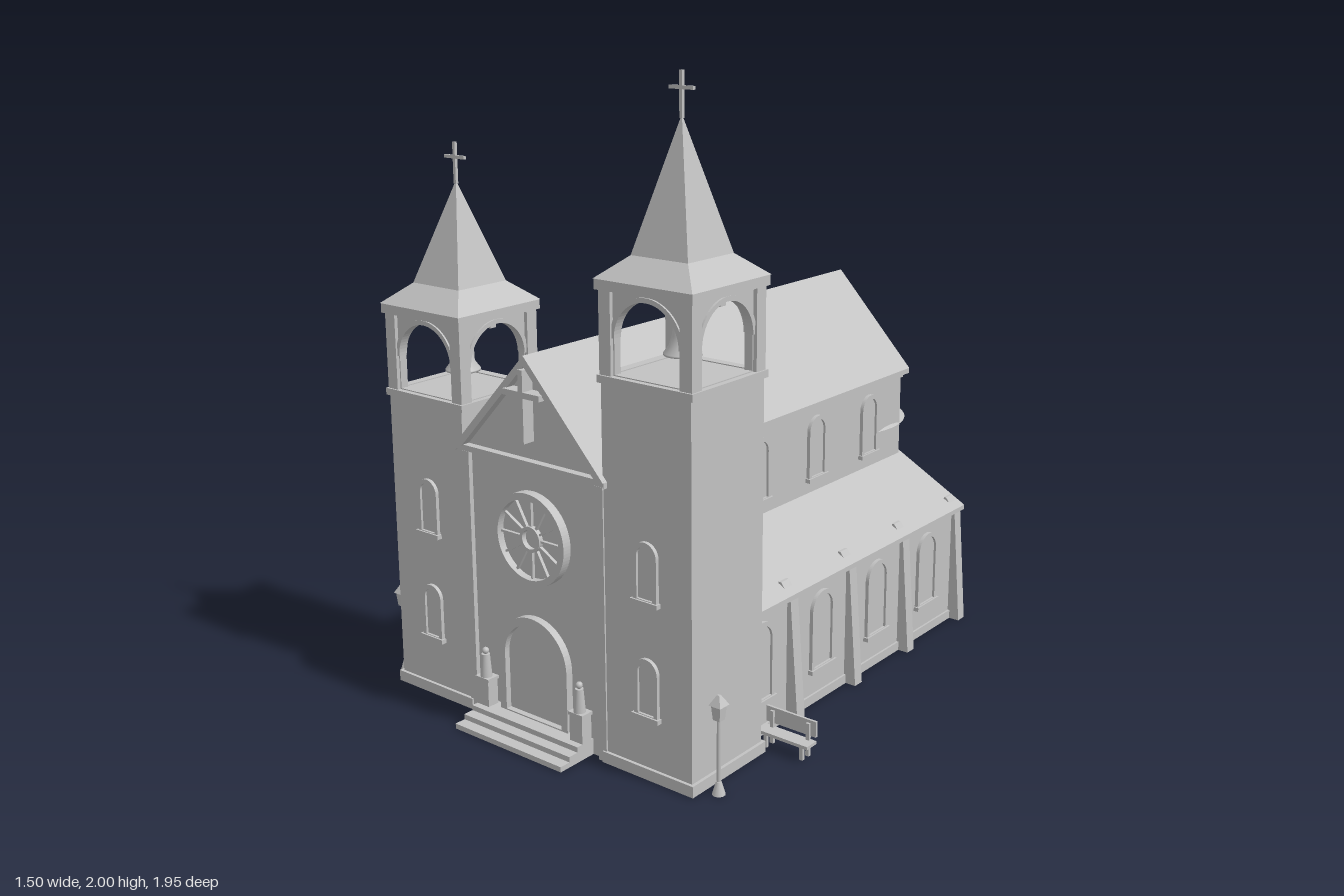
import * as THREE from 'three';

const stone = new THREE.MeshStandardMaterial({ color: 0xc2c2c2 });
stone.name = 'pale grey stone';

function add(parent, name, geo, x = 0, y = 0, z = 0) {
  const m = new THREE.Mesh(geo, stone);
  m.name = name;
  m.position.set(x, y, z);
  parent.add(m);
  return m;
}
function group(parent, name, x = 0, y = 0, z = 0) {
  const g = new THREE.Group();
  g.name = name;
  g.position.set(x, y, z);
  parent.add(g);
  return g;
}
// Box given by its low and high corners
function box(parent, name, x0, x1, y0, y1, z0, z1) {
  return add(parent, name, new THREE.BoxGeometry(x1 - x0, y1 - y0, z1 - z0),
    (x0 + x1) / 2, (y0 + y1) / 2, (z0 + z1) / 2);
}
const shapeOf = pts => new THREE.Shape(pts.map(p => new THREE.Vector2(...p)));
function extrude(shape, depth) {
  return new THREE.ExtrudeGeometry(shape, { depth, bevelEnabled: false, curveSegments: 16 });
}
// Outline of a round-headed opening standing on y
function archPath(Type, hw, y, top) {
  const p = new Type();
  p.moveTo(-hw, y);
  p.lineTo(hw, y);
  p.lineTo(hw, top - hw);
  p.absarc(0, top - hw, hw, 0, Math.PI, false);
  p.lineTo(-hw, y);
  return p;
}
function archFrame(hw, h, t, depth) {
  const s = archPath(THREE.Shape, hw, 0, h);
  s.holes.push(archPath(THREE.Path, hw - t, 0.004, h - t));
  return extrude(s, depth);
}
// Four-sided frustum with flat faces, given by half widths
function frustum(bottom, top, h) {
  const g = new THREE.CylinderGeometry(top * Math.SQRT2, bottom * Math.SQRT2, h, 4);
  g.rotateY(Math.PI / 4);
  g.translate(0, h / 2, 0);
  const flat = g.toNonIndexed();
  flat.computeVertexNormals();
  return flat;
}

// Arched window facing +z
function archWindow(parent, x, y, z, hw, h, turn = 0) {
  const g = group(parent, 'archedWindow', x, y, z);
  g.rotation.y = turn;
  add(g, 'windowFrame', archFrame(hw, h, 0.014, 0.012));
  add(g, 'windowPane', extrude(archPath(THREE.Shape, hw - 0.012, 0.002, h - 0.012), 0.004));
  box(g, 'windowSill', -hw - 0.006, hw + 0.006, -0.012, 0.002, 0, 0.018);
}

function cross(parent, y, h, arm, t, z = 0) {
  const g = group(parent, 'cross', 0, y, z);
  box(g, 'crossUpright', -t / 2, t / 2, 0, h, -t / 2, t / 2);
  box(g, 'crossArm', -arm, arm, h * 0.64 - t / 2, h * 0.64 + t / 2, -t / 2, t / 2);
}

function tower(parent, x, h) {
  const g = group(parent, 'bellTower', x, 0, 0.677);
  box(g, 'towerBody', -0.16, 0.16, 0, h, -0.163, 0.163);
  box(g, 'towerPlinth', -0.17, 0.17, 0, 0.035, -0.173, 0.173);
  box(g, 'belfryFloor', -0.17, 0.17, h, h + 0.022, -0.17, 0.17);
  for (const y of [0.2, 0.55]) archWindow(g, 0, y, 0.163, 0.043, 0.175);

  // Belfry: corner posts and an arched panel on each side
  const b = group(g, 'belfry', 0, h + 0.022, 0);
  for (const sx of [-1, 1]) for (const sz of [-1, 1])
    add(b, 'belfryPost', new THREE.BoxGeometry(0.042, 0.24, 0.042), sx * 0.143, 0.12, sz * 0.143);
  for (let i = 0; i < 4; i++) {
    const side = group(b, 'belfrySide');
    side.rotation.y = i * Math.PI / 2;
    const s = shapeOf([[-0.14, 0], [0.14, 0], [0.14, 0.24], [-0.14, 0.24]]);
    s.holes.push(archPath(THREE.Path, 0.118, 0.003, 0.225));
    add(side, 'archPanel', extrude(s, 0.02), 0, 0, 0.132);
    const ring = new THREE.Shape();
    ring.absarc(0, 0.107, 0.128, 0, Math.PI, false);
    ring.absarc(0, 0.107, 0.114, Math.PI, 0, true);
    add(side, 'archMoulding', extrude(ring, 0.03), 0, 0, 0.128);
  }
  // Bell hung from a beam
  const bell = [[0, 0.11], [0.016, 0.107], [0.026, 0.09], [0.031, 0.055], [0.04, 0.025], [0.055, 0.006], [0.055, 0],
    [0.045, 0.004], [0.024, 0.05], [0, 0.095]].reverse();
  add(b, 'bell', new THREE.LatheGeometry(bell.map(p => new THREE.Vector2(...p)), 24), 0, 0.05, 0);
  add(b, 'clapper', new THREE.SphereGeometry(0.011, 12, 8), 0, 0.045, 0);
  add(b, 'bellHanger', new THREE.CylinderGeometry(0.007, 0.007, 0.06, 8), 0, 0.185, 0);
  box(b, 'bellBeam', -0.14, 0.14, 0.205, 0.222, -0.012, 0.012);

  // Cornice and two-stage spire
  box(b, 'cornice', -0.172, 0.172, 0.24, 0.27, -0.172, 0.172);
  add(b, 'spireSkirt', frustum(0.174, 0.1, 0.062), 0, 0.27, 0);
  const tall = h > 1 ? 0.375 : 0.31;
  add(b, 'spire', frustum(0.1, 0.001, tall), 0, 0.332, 0);
  cross(b, 0.325 + tall, 0.127, 0.042, 0.01);
}

// Nave with pitched roof
function nave(parent) {
  const g = group(parent, 'nave');
  add(g, 'naveWalls', extrude(shapeOf([[-0.29, 0], [0.29, 0], [0.29, 0.86], [0, 1.165], [-0.29, 0.86]]), 1.57), 0, 0, -0.74);
  add(g, 'naveRoof', extrude(shapeOf([[0.3, 0.868], [0, 1.19], [-0.3, 0.868], [-0.3, 0.85], [0, 1.165], [0.3, 0.85]]), 1.635), 0, 0, -0.78);
  for (const s of [-1, 1]) {
    add(g, 'eavesMoulding', new THREE.BoxGeometry(0.012, 0.018, 1.25), s * 0.294, 0.853, -0.115);
    for (const z of [0.435, 0.11, -0.21, -0.53]) archWindow(g, s * 0.29, 0.612, z, 0.051, 0.21, s * Math.PI / 2);
  }
}

// Lean-to side aisle with windows and battered buttresses, mirrored by side
function aisle(parent, s) {
  const g = group(parent, 'sideAisle');
  const prism = (name, pts, z0, z1) =>
    add(g, name, extrude(shapeOf(s > 0 ? pts : pts.map(p => [-p[0], p[1]]).reverse()), z1 - z0), 0, 0, z0);
  prism('aisleWalls', [[0.2, 0], [0.538, 0], [0.538, 0.41], [0.28, 0.552], [0.2, 0.552]], -0.74, 0.53);
  prism('aisleRoof', [[0.28, 0.548], [0.556, 0.398], [0.556, 0.414], [0.28, 0.565]], -0.757, 0.53);
  prism('aislePlinth', [[0.5, 0], [0.545, 0], [0.545, 0.03], [0.5, 0.03]], -0.74, 0.53);
  for (const z of [0.275, -0.05, -0.375, -0.72])
    prism('buttress', [[0.5, 0], [0.582, 0], [0.55, 0.4], [0.514, 0.447], [0.505, 0.447]], z - 0.02, z + 0.02);
  for (const z of [0.435, 0.11, -0.21, -0.53]) archWindow(g, s * 0.538, 0.117, z, 0.062, 0.255, s * Math.PI / 2);
}

function facade(parent) {
  const g = group(parent, 'facade');
  for (const s of [-1, 1]) box(g, 'pilaster', s * 0.27 - 0.016, s * 0.27 + 0.016, 0, 0.85, 0.82, 0.845);
  box(g, 'pedimentCornice', -0.296, 0.296, 0.855, 0.873, 0.82, 0.855);
  add(g, 'gableMoulding', extrude(shapeOf([[0.3, 0.868], [0, 1.19], [-0.3, 0.868], [-0.27, 0.868], [0, 1.158], [0.27, 0.868]]), 0.03), 0, 0, 0.828);
  const c = group(g, 'gableCross', 0, 0.93, 0.85);
  box(c, 'crossUpright', -0.009, 0.009, 0, 0.22, -0.03, 0.022);
  box(c, 'crossArm', -0.073, 0.073, 0.137, 0.155, -0.03, 0.022);

  // Rose window
  const r = group(g, 'roseWindow', 0, 0.63, 0.83);
  const ring = (name, outer, inner, depth) => {
    const s = new THREE.Shape();
    s.absarc(0, 0, outer, 0, Math.PI * 2, false);
    const hole = new THREE.Path();
    hole.absarc(0, 0, inner, 0, Math.PI * 2, true);
    s.holes.push(hole);
    add(r, name, new THREE.ExtrudeGeometry(s, { depth, bevelEnabled: false, curveSegments: 40 }));
  };
  ring('roseFrame', 0.145, 0.124, 0.03);
  ring('roseHub', 0.04, 0.03, 0.022);
  add(r, 'rosePane', new THREE.CylinderGeometry(0.13, 0.13, 0.008, 40).rotateX(Math.PI / 2), 0, 0, 0.002);
  for (let i = 0; i < 12; i++) {
    const a = i * Math.PI / 6;
    add(r, 'roseSpoke', new THREE.BoxGeometry(0.09, 0.007, 0.016), 0.082 * Math.cos(a), 0.082 * Math.sin(a), 0.008).rotation.z = a;
  }

  // Arched door, steps and statues
  add(g, 'doorFrame', archFrame(0.14, 0.33, 0.025, 0.025), 0, 0.05, 0.83);
  add(g, 'door', extrude(archPath(THREE.Shape, 0.117, 0, 0.307), 0.006), 0, 0.05, 0.83);
  [0.9, 0.935, 0.972].forEach((z, i) => box(g, 'step', -0.22, 0.22, 0, 0.05 - i * 0.0167, 0.82, z));
  for (const s of [-1, 1]) {
    const st = group(g, 'statue', s * 0.195, 0.05, 0.86);
    box(st, 'pedestal', -0.025, 0.025, 0, 0.085, -0.022, 0.018);
    box(st, 'pedestalCap', -0.028, 0.028, 0.082, 0.092, -0.025, 0.02);
    add(st, 'robe', new THREE.CylinderGeometry(0.013, 0.019, 0.075, 12), 0, 0.128, 0);
    add(st, 'head', new THREE.SphereGeometry(0.011, 12, 8), 0, 0.176, 0);
  }
}

// Round apse with conical roof
function apse(parent) {
  const g = group(parent, 'apse', 0, 0, -0.675);
  add(g, 'apseWall', new THREE.CylinderGeometry(0.27, 0.27, 0.67, 48), 0, 0.335, 0);
  add(g, 'apseRoof', new THREE.ConeGeometry(0.3, 0.295, 48), 0, 0.8175, 0);
}

function lamp(parent, x) {
  const g = group(parent, 'streetLamp', x, 0, 0.785);
  add(g, 'lampFoot', new THREE.CylinderGeometry(0.008, 0.02, 0.04, 10), 0, 0.02, 0);
  add(g, 'lampPost', new THREE.CylinderGeometry(0.006, 0.006, 0.23, 8), 0, 0.125, 0);
  add(g, 'lantern', frustum(0.012, 0.016, 0.045), 0, 0.23, 0);
  add(g, 'lanternRoof', frustum(0.021, 0.004, 0.03), 0, 0.275, 0);
}

function bench(parent, s) {
  const g = group(parent, 'bench', s * 0.66, 0, 0.46);
  box(g, 'benchSeat', -0.09, 0.09, 0.042, 0.052, -0.022, 0.027);
  box(g, 'benchBack', -0.09, 0.09, 0.064, 0.114, -0.026, -0.018);
  for (const x of [-0.065, 0.065]) {
    box(g, 'benchLeg', x - 0.006, x + 0.006, 0, 0.105, -0.02, -0.01);
    box(g, 'benchLeg', x - 0.006, x + 0.006, 0, 0.042, 0.012, 0.022);
  }
}

export function createModel() {
  const church = new THREE.Group();
  church.name = 'church';
  nave(church);
  facade(church);
  apse(church);
  tower(church, -0.443, 0.968);
  tower(church, 0.443, 1.155);
  for (const s of [-1, 1]) {
    aisle(church, s);
    lamp(church, s * 0.655);
    bench(church, s);
  }
  return church;
}
